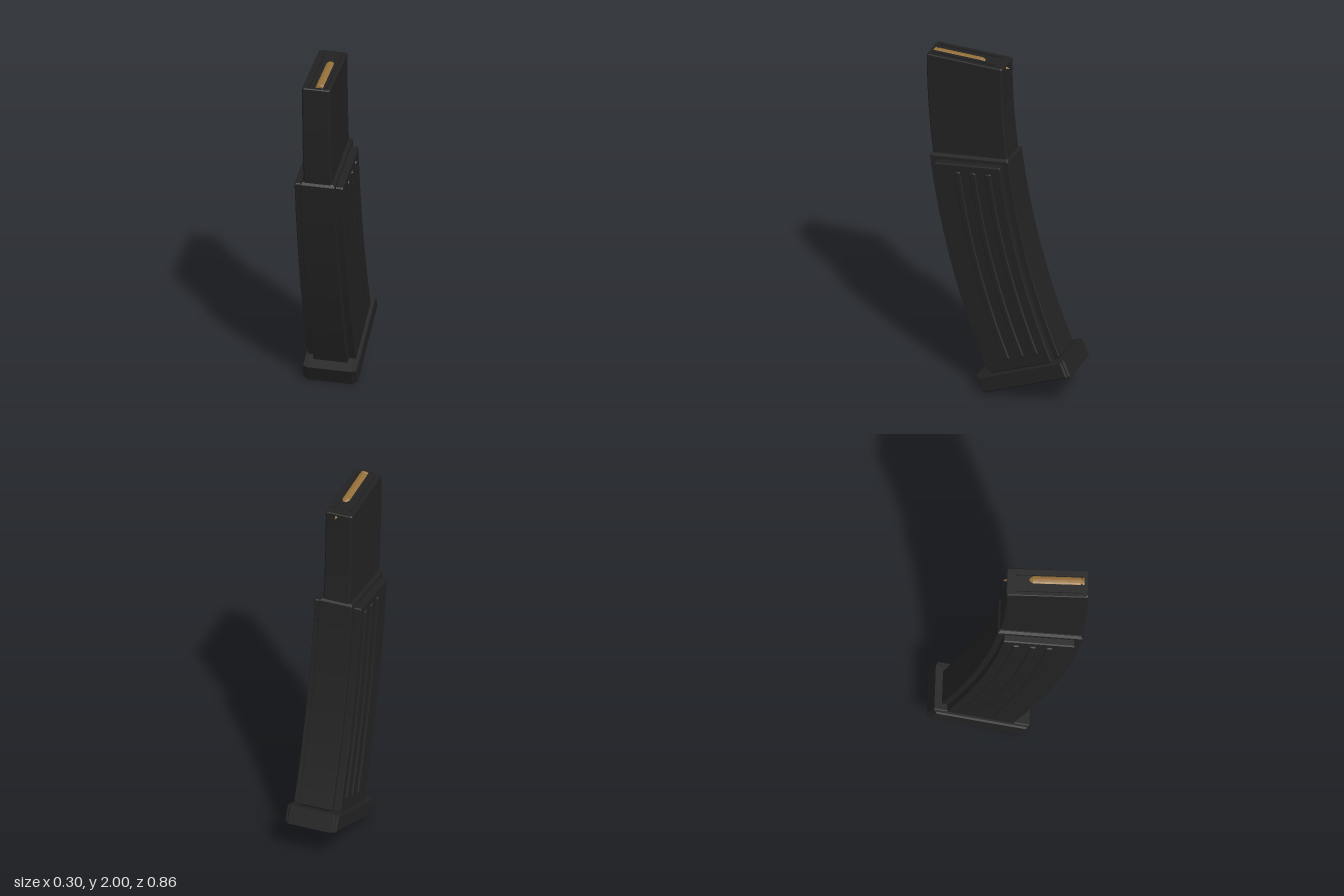
import * as THREE from 'three';
import { toCreasedNormals } from 'three/addons/utils/BufferGeometryUtils.js';

// All curved parts share one arc centre in the side (z, y) plane.
const CZ = -4.44, CY = 1.99, TILT = 0.394;

// Chamfered rectangle, half width hw, between radii r0 and r1.
function section(hw, r0, r1, c) {
  return [
    [-hw + c, r0], [hw - c, r0], [hw, r0 + c], [hw, r1 - c],
    [hw - c, r1], [-hw + c, r1], [-hw, r1 - c], [-hw, r0 + c],
  ];
}

// Sweeps the section along the arc from angle a0 to a1, with bevelled ends.
function curvedBar(hw, r0, r1, a0, a1, chamfer, bevel, steps = 20) {
  const db = bevel / r0;
  const loops = [[a0, bevel]];
  for (let i = 0; i <= steps; i++) loops.push([a0 + db + (a1 - a0 - 2 * db) * i / steps, 0]);
  loops.push([a1, bevel]);
  const pos = [], idx = [], n = 8;
  for (const [a, inset] of loops) {
    for (const [x, r] of section(hw - inset, r0 + inset, r1 - inset, chamfer)) {
      pos.push(x, CY - r * Math.sin(a), CZ + r * Math.cos(a));
    }
  }
  for (let i = 0; i < loops.length - 1; i++) {
    for (let j = 0; j < n; j++) {
      const k = (j + 1) % n, a = i * n, b = a + n;
      idx.push(a + j, a + k, b + k, a + j, b + k, b + j);
    }
  }
  const last = (loops.length - 1) * n;
  for (let j = 1; j < n - 1; j++) {
    idx.push(0, j + 1, j);
    idx.push(last, last + j, last + j + 1);
  }
  const g = new THREE.BufferGeometry();
  g.setAttribute('position', new THREE.Float32BufferAttribute(pos, 3));
  g.setIndex(idx);
  return toCreasedNormals(g, 0.4);
}

// Bevelled slab of full size w (x), h (y), d (z), centred on the origin.
function slab(w, h, d, b) {
  const s = new THREE.Shape();
  const u = d / 2 - b, v = h / 2 - b;
  s.moveTo(-u, -v).lineTo(u, -v).lineTo(u, v).lineTo(-u, v).closePath();
  const g = new THREE.ExtrudeGeometry(s, {
    depth: w - 2 * b, bevelEnabled: true, bevelSize: b, bevelThickness: b, bevelSegments: 1,
  });
  g.translate(0, 0, -(w / 2 - b));
  g.rotateY(-Math.PI / 2);
  return g;
}

export function createModel() {
  const model = new THREE.Group();
  model.name = 'curvedMagazine';
  const black = new THREE.MeshStandardMaterial({ color: 0x222222 });
  black.name = 'matte black';
  const brass = new THREE.MeshStandardMaterial({ color: 0x95703a });
  brass.name = 'brass';

  const add = (name, geometry, material = black, parent = model) => {
    const m = new THREE.Mesh(geometry, material);
    m.name = name;
    parent.add(m);
    return m;
  };

  // Slim upper body
  add('upperBody', curvedBar(0.077, 4.43, 4.87, 0, 0.15, 0.008, 0.004, 8));

  // Thick lower sleeve: narrow core, wider sides, raised ribs on both sides
  add('sleeveCore', curvedBar(0.095, 4.42, 4.88, 0.123, TILT, 0.003, 0.012));
  add('sleeveSides', curvedBar(0.133, 4.455, 4.842, 0.13, TILT, 0.003, 0.006));
  for (const r of [4.53, 4.62, 4.71]) {
    add('sideRibs', curvedBar(0.141, r - 0.018, r + 0.018, 0.139, 0.38, 0.006, 0.006));
  }

  // Tilted base plate
  const base = new THREE.Group();
  base.name = 'basePlate';
  base.position.set(0, 0.157, -0.159);
  base.rotation.x = TILT;
  model.add(base);
  add('basePlateCore', slab(0.266, 0.105, 0.552, 0.008), black, base);
  add('basePlateSides', slab(0.298, 0.097, 0.532, 0.008), black, base);

  // Feed lips
  for (const side of [-1, 1]) {
    add('feedLip', new THREE.BoxGeometry(0.018, 0.02, 0.365)).position.set(side * 0.046, 1.99, 0.2225);
  }

  // Top cartridge, lying with its nose to the back
  const profile = [
    [0, 0], [0.022, 0], [0.022, 0.008], [0.017, 0.011], [0.017, 0.016], [0.022, 0.02],
    [0.022, 0.275], [0.008, 0.295], [0, 0.295],
  ].map(([x, y]) => new THREE.Vector2(x, y));
  const round = add('topCartridge', new THREE.LatheGeometry(profile, 10).toNonIndexed(), brass);
  round.geometry.computeVertexNormals();
  round.rotation.x = -Math.PI / 2;
  round.scale.z = 0.5;
  round.position.set(0.014, 1.989, 0.407);

  // Nose tip showing through the back wall
  const tip = add('cartridgeTip', new THREE.ConeGeometry(0.011, 0.03, 8), brass);
  tip.rotation.x = -Math.PI / 2;
  tip.position.set(0.014, 1.97, -0.016);

  return model;
}
